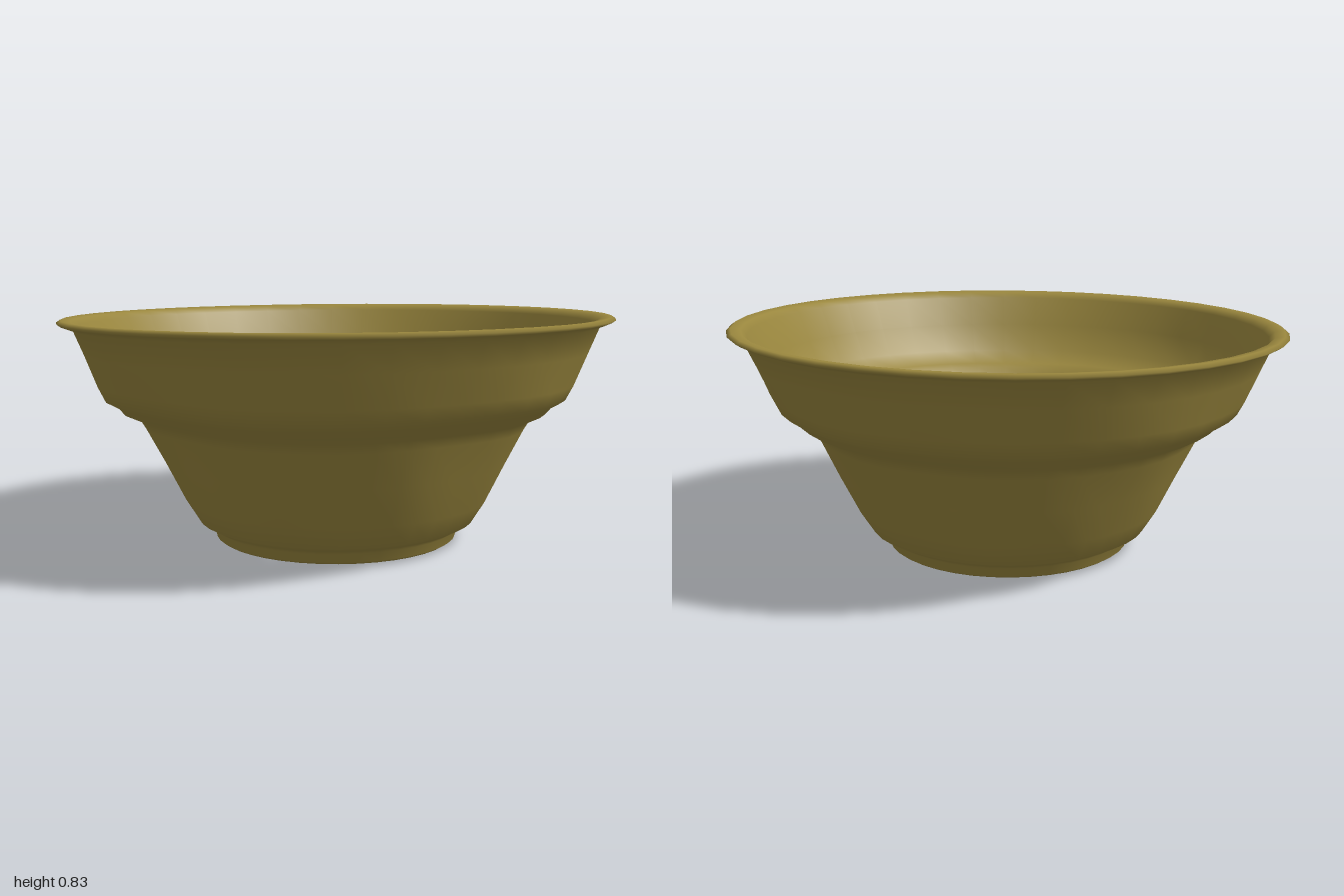
import * as THREE from 'three';
import { mergeVertices } from 'three/addons/utils/BufferGeometryUtils.js';

// Slightly irregular hand-worked surface: rim tilts towards +x, walls are softly dented
function weather(geometry) {
  const p = geometry.attributes.position;
  for (let i = 0; i < p.count; i++) {
    const x = p.getX(i), y = p.getY(i), z = p.getZ(i);
    const a = Math.atan2(z, x);
    const wall = Math.sin(Math.PI * THREE.MathUtils.clamp(y / 0.8, 0, 1));
    const dent = 1 + 0.007 * wall * (Math.sin(5 * a + 6 * y) + 0.7 * Math.sin(9 * a - 8 * y));
    const ripple = 0.004 * wall * Math.sin(4 * a + 1);
    p.setXYZ(i, x * dent, y + 0.012 * x * y + ripple, z * dent);
  }
  return geometry;
}

// Small irregular drain hole in the floor
function hole(x, z, r, phase) {
  const points = [];
  for (let i = 0; i < 8; i++) {
    const a = -i * Math.PI / 4;
    const rr = r * (1 + 0.18 * Math.sin(2 * a + phase));
    points.push(new THREE.Vector2(x + rr * Math.cos(a), z + rr * Math.sin(a)));
  }
  return new THREE.Path(points);
}

export function createModel() {
  const group = new THREE.Group();
  group.name = 'bowl';
  const clay = new THREE.MeshStandardMaterial({ color: 0x9a873e });
  clay.name = 'olive clay';

  // Wall: foot ring, lower wall, stepped shoulder, upper wall, rolled rim, then back down inside
  const profile = [
    [0.39, 0.04], [0.41, 0.02], [0.43, 0.005], [0.445, 0.015], [0.45, 0.045], [0.47, 0.06],
    [0.51, 0.08], [0.56, 0.16], [0.63, 0.3], [0.695, 0.43], [0.715, 0.465], [0.77, 0.49],
    [0.79, 0.515], [0.835, 0.54], [0.86, 0.59], [0.905, 0.7], [0.945, 0.79], [0.985, 0.805],
    [1.0, 0.815], [0.985, 0.825], [0.95, 0.82], [0.93, 0.8], [0.885, 0.69], [0.835, 0.585],
    [0.765, 0.54], [0.74, 0.53], [0.7, 0.49], [0.67, 0.43], [0.6, 0.29], [0.53, 0.16],
    [0.48, 0.1], [0.44, 0.07], [0.39, 0.062],
  ].map(([r, y]) => new THREE.Vector2(r, y));
  let wall = new THREE.LatheGeometry(profile, 40);
  wall.deleteAttribute('uv');
  wall.deleteAttribute('normal');
  wall = weather(mergeVertices(wall, 1e-4));
  wall.computeVertexNormals();
  const wallMesh = new THREE.Mesh(wall, clay);
  wallMesh.name = 'wall';
  group.add(wallMesh);

  // Floor: thin disc with a central drain and three smaller holes
  const disc = new THREE.Shape().absarc(0, 0, 0.415, 0, Math.PI * 2, false);
  disc.holes.push(
    hole(0, -0.01, 0.046, 0),
    hole(0.29, -0.26, 0.024, 1),
    hole(-0.355, -0.125, 0.024, 2),
    hole(0.088, 0.365, 0.024, 3),
  );
  const floor = new THREE.ExtrudeGeometry(disc, { depth: 0.022, bevelEnabled: false, curveSegments: 20 });
  floor.rotateX(Math.PI / 2).translate(0, 0.062, 0);
  const floorMesh = new THREE.Mesh(floor, clay);
  floorMesh.name = 'floor';
  group.add(floorMesh);

  return group;
}
